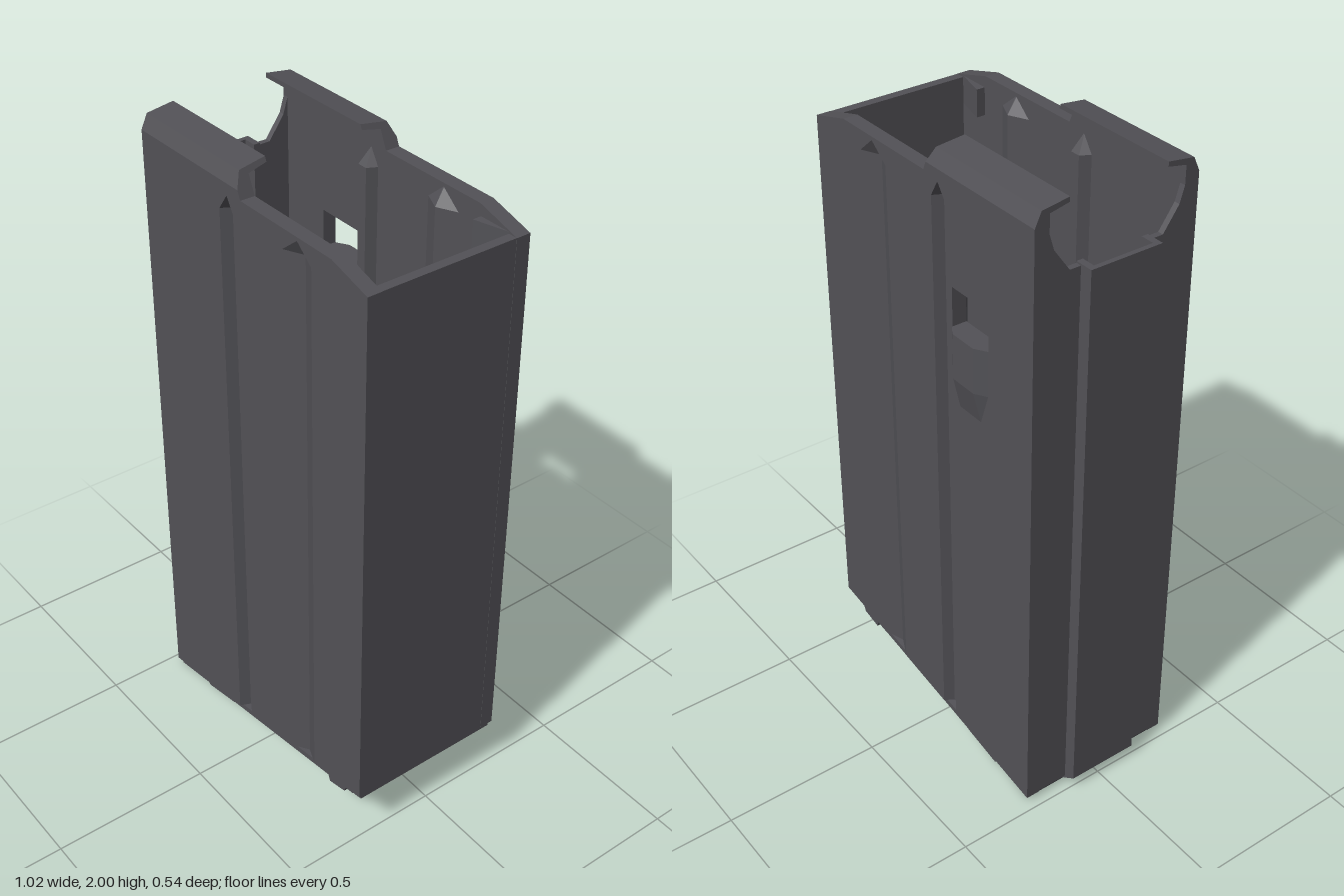
import * as THREE from 'three';
import { ConvexGeometry } from 'three/addons/geometries/ConvexGeometry.js';

const shell = new THREE.MeshStandardMaterial({ color: 0x525156, side: THREE.DoubleSide });
shell.name = 'dark grey shell';
const floorGrey = new THREE.MeshStandardMaterial({ color: 0x505052, side: THREE.DoubleSide });
floorGrey.name = 'floor grey';

// Prisms along each axis, given an outline in the other two
function extrude(points, depth) {
  const corners = points.map((p) => new THREE.Vector2(p[0], p[1]));
  const shape = new THREE.Shape(corners);
  return new THREE.ExtrudeGeometry(shape, { depth: depth, bevelEnabled: false });
}

function prismX(zy, x0, x1) {
  const outline = zy.map((p) => [-p[0], p[1]]);
  const g = extrude(outline, x1 - x0);
  g.rotateY(Math.PI / 2);
  g.translate(x0, 0, 0);
  return g;
}

function prismY(xz, y0, y1) {
  const outline = xz.map((p) => [p[0], -p[1]]);
  const g = extrude(outline, y1 - y0);
  g.rotateX(-Math.PI / 2);
  g.translate(0, y0, 0);
  return g;
}

function prismZ(xy, z0, z1) {
  const g = extrude(xy, z1 - z0);
  g.translate(0, 0, z0);
  return g;
}

// Slanted underside and dropped front corner
function bottomY(x) {
  return 0.097 + 0.165 * x;
}

function topY(x) {
  return 1.92 - Math.max(0, x - 0.37) * 0.285;
}

// Slanted slab hanging under the body
function slab(x0, x1, drop, taper, z0, z1) {
  const a = [x0, bottomY(x0)];
  const b = [x1, bottomY(x1)];
  const c = [x1 - taper, bottomY(x1) - drop];
  const d = [x0 + taper, bottomY(x0) - drop];
  return prismZ([a, b, c, d], z0, z1);
}

const HALF = 0.26;
const WALL = 0.045;

// Side wall columns: x, groove depth, centre line the column closes to
const COLS = [
  [-0.47, 0, -0.47], [-0.285, 0, -0.285], [-0.125, 0, -0.125],
  [-0.105, 0, -0.07], [-0.088, 0.03, -0.07], [-0.07, 0.03, -0.07],
  [-0.055, 0.03, -0.07], [-0.04, 0, -0.07],
  [0.17, 0, 0.23], [0.23, 0.028, 0.23], [0.29, 0, 0.23],
  [0.37, 0, 0.37], [0.51, 0, 0.51],
];
const ROWS = [0, 1.51, 1.63, 1.86, 1.908, 1.92];
const NC = COLS.length - 1;
const NR = ROWS.length - 1;

// Pressed sheet wall whose grooves close to a point at the top
function sideWall(side, hasWindow) {
  const pos = [];

  function point(c, r, layer) {
    const col = COLS[c];
    const closed = r >= 4;
    const x = closed ? col[2] + (col[0] - col[2]) * 0.06 : col[0];
    const inset = (closed ? 0 : col[1]) + layer * WALL;
    let y = Math.min(ROWS[r], topY(x) - 0.012 * (NR - r));
    if (r === 0) y = bottomY(x);
    return [x, y, side * (HALF - inset)];
  }

  function filled(c, r) {
    const inside = c >= 0 && r >= 0 && c < NC && r < NR;
    const isWindow = hasWindow && c === 1 && r === 1;
    return inside && !isWindow;
  }

  function quad(a, b, c, d) {
    const corners = side > 0 ? [a, b, c, a, c, d] : [a, d, c, a, c, b];
    corners.forEach((v) => pos.push(v[0], v[1], v[2]));
  }

  for (let c = 0; c < NC; c++) {
    for (let r = 0; r < NR; r++) {
      if (!filled(c, r)) continue;
      const ring = [[c, r], [c + 1, r], [c + 1, r + 1], [c, r + 1]];
      const outer = ring.map((q) => point(q[0], q[1], 0));
      const inner = ring.map((q) => point(q[0], q[1], 1));
      quad(outer[0], outer[1], outer[2], outer[3]);
      quad(inner[3], inner[2], inner[1], inner[0]);
      // Close the sheet thickness wherever there is no neighbour
      const neighbours = [[c, r - 1], [c + 1, r], [c, r + 1], [c - 1, r]];
      for (let k = 0; k < 4; k++) {
        const n = (k + 1) % 4;
        const open = !filled(neighbours[k][0], neighbours[k][1]);
        if (open) quad(outer[k], inner[k], inner[n], outer[n]);
      }
    }
  }
  const g = new THREE.BufferGeometry();
  g.setAttribute('position', new THREE.Float32BufferAttribute(pos, 3));
  g.computeVertexNormals();
  return g;
}

const LIP = [[0.26, 1.92], [0.26, 1.945], [0.24, 1.988], [0.155, 2],
  [0.155, 1.986], [0.215, 1.974], [0.215, 1.92]];
const REAR = [[0.24, 0.025], [0.24, 1.95], [0.225, 1.95], [0.2, 1.87],
  [0.15, 1.8], [0.1, 1.8], [0.1, 0.025]];

// Curled feed lip with a sloping end
function feedLip(s) {
  const g = prismX(LIP.map((p) => [s * p[0], p[1]]), -0.47, 0);
  const p = g.attributes.position;
  for (let i = 0; i < p.count; i++) {
    const slope = (p.getY(i) - 1.92) * 0.45;
    if (p.getX(i) > -0.2) p.setX(i, -0.008 - slope);
  }
  g.computeVertexNormals();
  return g;
}

// Catch bump: steep at the top, fading into the wall below
function catchBump() {
  const rows = [[-0.29, -0.115, 1.51, -0.255], [-0.29, -0.115, 1.37, -0.255],
    [-0.25, -0.155, 1.25, -0.255], [-0.245, -0.155, 1.51, -0.282],
    [-0.245, -0.155, 1.37, -0.282]];
  const points = [];
  rows.forEach((q) => {
    points.push(new THREE.Vector3(q[0], q[2], q[3]));
    points.push(new THREE.Vector3(q[1], q[2], q[3]));
  });
  return new ConvexGeometry(points);
}

export function createModel() {
  const model = new THREE.Group();
  model.name = 'boxMagazine';
  const body = new THREE.Group();
  body.name = 'body';
  body.position.z = 0.01;
  model.add(body);

  function add(name, geometry, material) {
    const mesh = new THREE.Mesh(geometry, material);
    mesh.name = name;
    body.add(mesh);
  }

  for (const s of [1, -1]) {
    const tag = s > 0 ? 'Left' : 'Right';
    add('sideWall' + tag, sideWall(s, s < 0), shell);
    add('feedLip' + tag, feedLip(s), shell);

    // Half of the rear wall, cut away towards the spine
    const rear = REAR.map((p) => [s * p[0], p[1]]);
    add('rearWall' + tag, prismX(rear, -0.47, -0.452), shell);

    // Small wedge inside the front corner
    const wedge = [[0.375, s * 0.22], [0.375, s * 0.187], [0.48, s * 0.215], [0.48, s * 0.22]];
    add('innerWedge' + tag, prismY(wedge, 1.8, 1.885), shell);

    // Folded tabs under the base
    const z0 = s > 0 ? 0.2 : -0.25;
    add('baseTabRear' + tag, slab(-0.31, -0.14, 0.024, 0.015, z0, z0 + 0.05), shell);
    add('baseTabFront' + tag, slab(0.34, 0.44, 0.038, 0.015, z0, z0 + 0.05), shell);
  }

  // Front wall
  const front = [[-HALF, 0.185], [HALF, 0.185], [HALF, 1.88], [-HALF, 1.88]];
  add('frontWall', prismX(front, 0.48, 0.509), shell);

  // Hollow spine channel and its sloped foot
  const channel = [[-0.452, -0.115], [-0.51, -0.115], [-0.51, 0.115], [-0.452, 0.115],
    [-0.452, 0.095], [-0.495, 0.095], [-0.495, -0.095], [-0.452, -0.095]];
  add('spine', prismY(channel, 0.055, 1.805), shell);
  const foot = [[-0.51, 0.06], [-0.51, 0.045], [-0.455, 0.005], [-0.44, 0.02], [-0.452, 0.06]];
  add('spineFoot', prismZ(foot, -0.115, 0.115), shell);

  // Slanted base, with a narrow slit before the front wall
  add('basePlate', slab(-0.46, 0.47, 0.019, 0.004, -0.25, 0.25), shell);
  add('baseLip', slab(0.48, 0.505, 0.014, 0, -0.25, 0.25), shell);
  const floor = [[-0.45, bottomY(-0.45)], [0.47, bottomY(0.47)],
    [0.47, bottomY(0.47) + 0.008], [-0.45, bottomY(-0.45) + 0.008]];
  add('innerFloor', prismZ(floor, -0.214, 0.214), floorGrey);

  add('catchBump', catchBump(), shell);
  return model;
}
